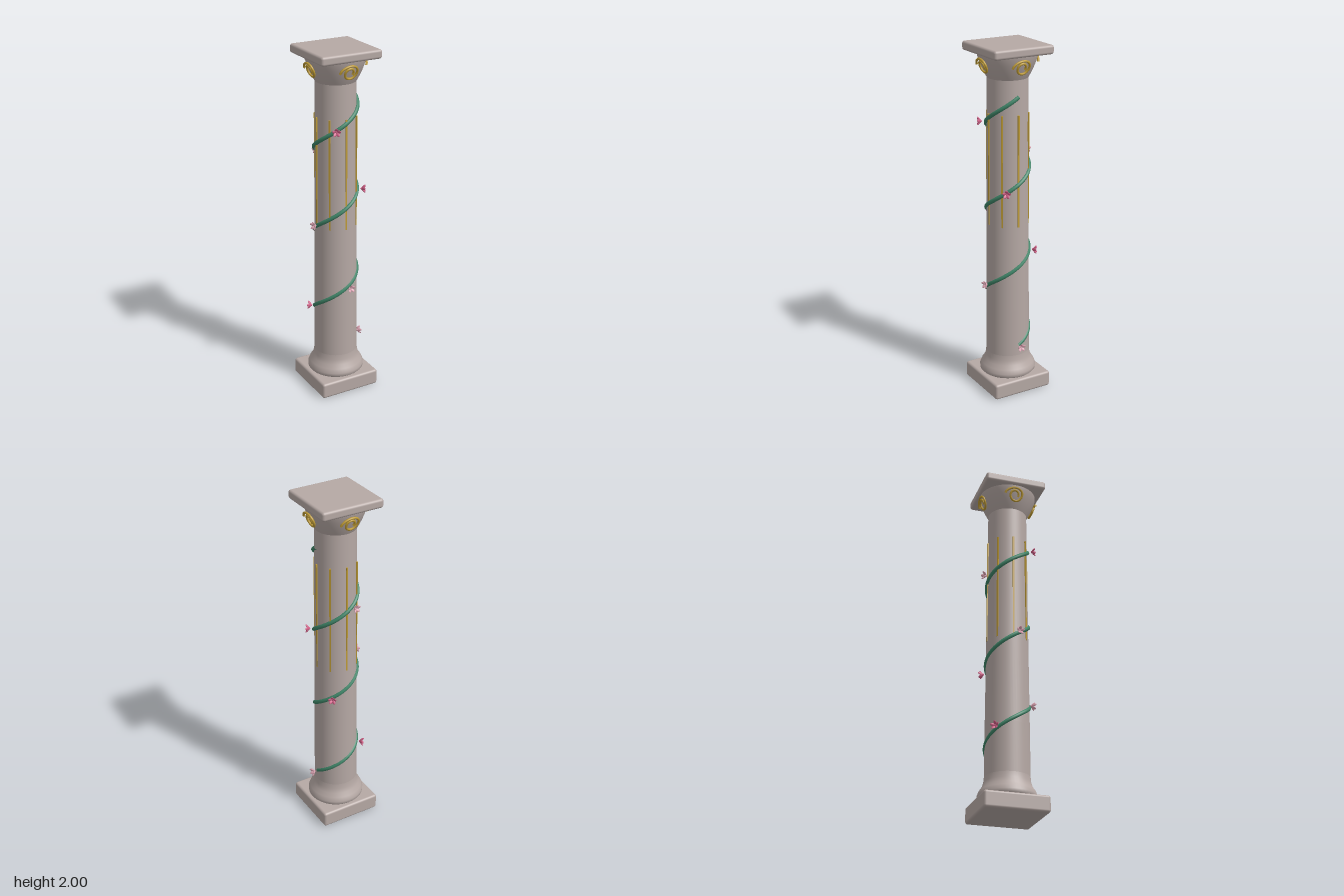
import * as THREE from 'three';
import { RoundedBoxGeometry } from 'three/addons/geometries/RoundedBoxGeometry.js';

const mat = (name, color) => {
  const m = new THREE.MeshStandardMaterial({ color });
  m.name = name;
  return m;
};

export function createModel() {
  const stone = mat('stone', 0xb5a8a4);
  const gold = mat('gold', 0xbd9a35);
  const green = mat('vine green', 0x3f8568);
  const pink = mat('deep pink', 0xcf5f86);
  const palePink = mat('pale pink', 0xdba3b2);

  const model = new THREE.Group();
  model.name = 'column';
  const add = (parent, name, geometry, material) => {
    const mesh = new THREE.Mesh(geometry, material);
    mesh.name = name;
    parent.add(mesh);
    return mesh;
  };
  const lathe = (pts) => new THREE.LatheGeometry(pts.map(([r, y]) => new THREE.Vector2(r, y)), 48);

  // Square slabs at foot and head
  add(model, 'plinth', new RoundedBoxGeometry(0.36, 0.092, 0.36, 3, 0.014), stone).position.y = 0.046;
  add(model, 'abacus', new RoundedBoxGeometry(0.36, 0.05, 0.36, 3, 0.014), stone).position.y = 1.975;

  // Round stonework: flared base, tapering shaft, flared capital
  add(model, 'base', lathe([[0, 0.09], [0.15, 0.09], [0.16, 0.1], [0.161, 0.118], [0.151, 0.142],
    [0.136, 0.163], [0.127, 0.19], [0.124, 0.22]]), stone);
  add(model, 'shaft', lathe([[0.124, 0.22], [0.122, 0.5], [0.118, 1], [0.114, 1.5], [0.112, 1.82]]), stone);
  add(model, 'capital', lathe([[0.112, 1.82], [0.122, 1.838], [0.138, 1.87], [0.152, 1.905],
    [0.162, 1.935], [0.165, 1.955]]), stone);

  // Gilded strips that sink into the widening shaft
  for (let i = 0; i < 8; i++) {
    const pivot = new THREE.Group();
    pivot.name = 'giltStrip';
    pivot.rotation.y = i * Math.PI / 4;
    add(pivot, 'strip', new THREE.BoxGeometry(0.009, 0.63, 0.012), gold).position.set(0, 1.315, 0.1145);
    model.add(pivot);
  }

  // Spiral scrolls leaning with the capital
  const spiral = [];
  for (let i = 0; i <= 30; i++) {
    const k = i / 30;
    const a = Math.PI * (1 - 3.2 * k);
    const r = 0.02 + 0.04 * Math.pow(1 - k, 1.6);
    const y = Math.min(r, 0.038) * Math.sin(a);
    spiral.push(new THREE.Vector3(r * Math.cos(a), 1.892 + y, 0.153 + 0.38 * y));
  }
  const scrollGeometry = new THREE.TubeGeometry(new THREE.CatmullRomCurve3(spiral), 60, 0.0065, 8);
  for (let i = 0; i < 4; i++) add(model, 'scroll', scrollGeometry, gold).rotation.y = i * Math.PI / 2;

  // Climbing vine, three turns
  const vine = [];
  for (let i = 0; i <= 72; i++) {
    const k = i / 72;
    const a = k * Math.PI * 6;
    const r = 0.12 - 0.003 * k;
    vine.push(new THREE.Vector3(r * Math.cos(a), 0.28 + 1.45 * k, -r * Math.sin(a)));
  }
  add(model, 'vine', new THREE.TubeGeometry(new THREE.CatmullRomCurve3(vine), 240, 0.0115, 8), green);

  // Five-petalled blossoms facing outward along the vine
  const petalGeometry = new THREE.SphereGeometry(1, 10, 8).scale(0.009, 0.0155, 0.004);
  const heartGeometry = new THREE.SphereGeometry(0.0075, 10, 8);
  for (let i = 0; i < 8; i++) {
    const a = THREE.MathUtils.degToRad(137.5 * i);
    const flower = new THREE.Group();
    flower.name = 'flower';
    flower.position.set(0.136 * Math.cos(a), 0.28 + 0.1853 * i, -0.136 * Math.sin(a));
    flower.rotation.y = a + Math.PI / 2;
    const colour = i % 2 ? pink : palePink;
    for (let p = 0; p < 5; p++) {
      const turn = new THREE.Group();
      turn.name = 'petalTurn';
      turn.rotation.z = p * Math.PI * 2 / 5;
      const petal = add(turn, 'petal', petalGeometry, colour);
      petal.position.set(0, 0.0125, 0.018);
      petal.rotation.x = 0.75;
      flower.add(turn);
    }
    add(flower, 'flowerHeart', heartGeometry, colour).position.z = 0.01;
    model.add(flower);
  }
  return model;
}
